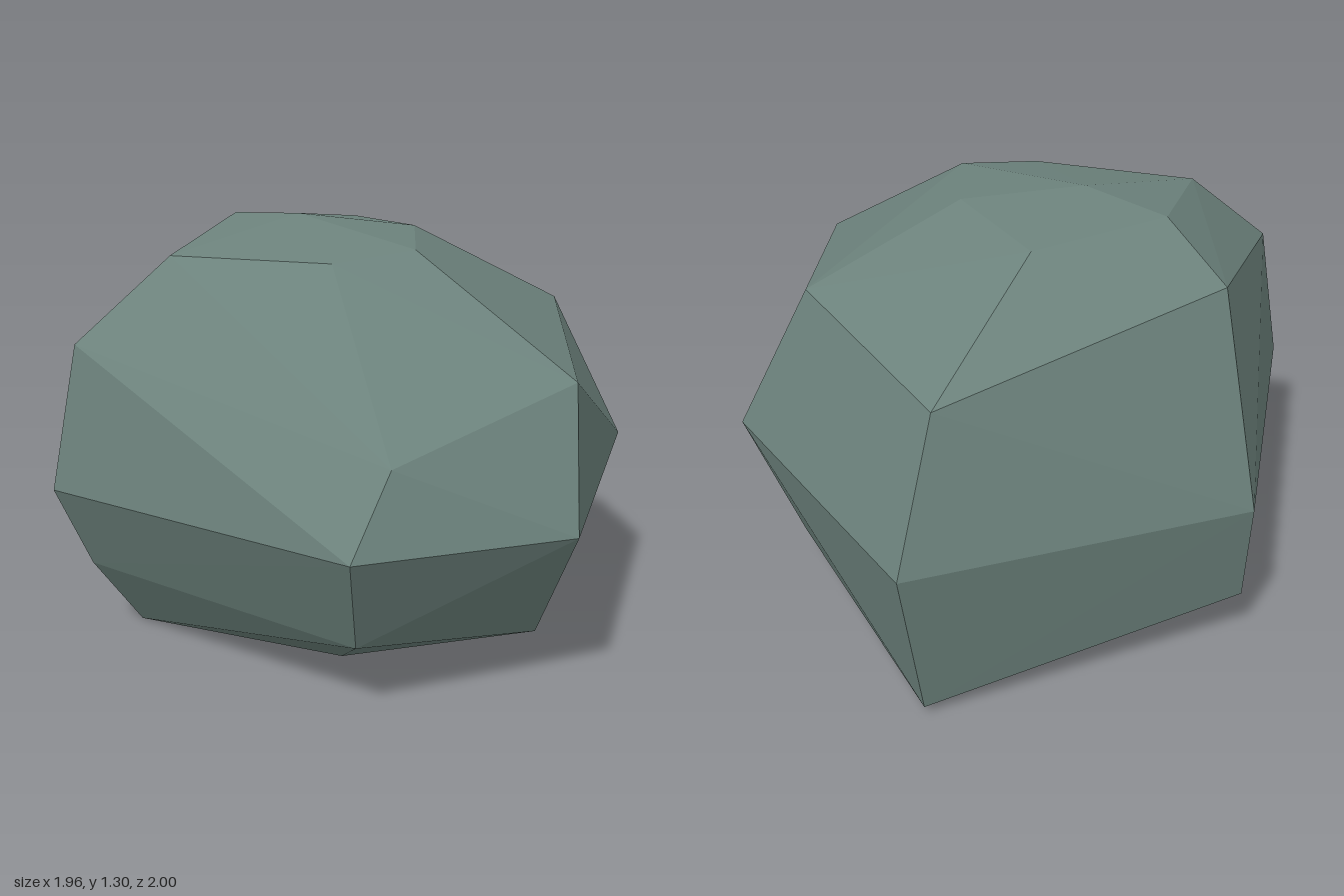
import * as THREE from 'three';
import { ConvexGeometry } from 'three/addons/geometries/ConvexGeometry.js';

// Six-sided rings of the boulder, each starting at the front and running
// through +x, the back and -x.
const RINGS = [
  // underside
  [[-0.05, 0.02, 0.42], [0.32, 0.02, 0.17], [0.41, 0, -0.41], [-0.07, 0.02, -0.7], [-0.69, 0, -0.38], [-0.4, 0, 0.29]],
  // lower flank
  [[-0.08, 0.155, 0.8], [0.6, 0.1, 0.35], [0.87, 0.03, -0.55], [-0.08, 0.16, -0.96], [-0.86, 0.24, -0.39], [-0.65, 0.22, 0.63]],
  // widest belt
  [[-0.14, 0.52, 1], [0.75, 0.535, 0.45], [0.98, 0.53, -0.58], [-0.05, 0.49, -1], [-0.98, 0.51, -0.4], [-0.77, 0.53, 0.74]],
  // shoulder
  [[0.015, 0.915, 0.85], [0.595, 1.01, 0.27], [0.79, 0.955, -0.52], [-0.11, 1.13, -0.8], [-0.895, 0.965, -0.37], [-0.6, 0.755, 0.72]],
  // crown
  [[-0.1, 1.247, 0.3], [0.18, 1.265, 0.01], [0.3, 1.245, -0.41], [-0.12, 1.28, -0.56], [-0.595, 1.215, -0.28], [-0.35, 1.22, 0.2]],
];
const PEAK = [-0.1, 1.305, -0.25];

export function createModel() {
  const group = new THREE.Group();
  group.name = 'rock';

  const stone = new THREE.MeshStandardMaterial({ color: 0x6c827c });
  stone.name = 'grey green stone';
  stone.flatShading = true;

  // Faceted boulder: the convex skin over the rings and the peak
  const points = [...RINGS.flat(), PEAK].map((p) => new THREE.Vector3(...p));
  const boulder = new THREE.Mesh(new ConvexGeometry(points), stone);
  boulder.name = 'boulder';
  group.add(boulder);

  return group;
}
